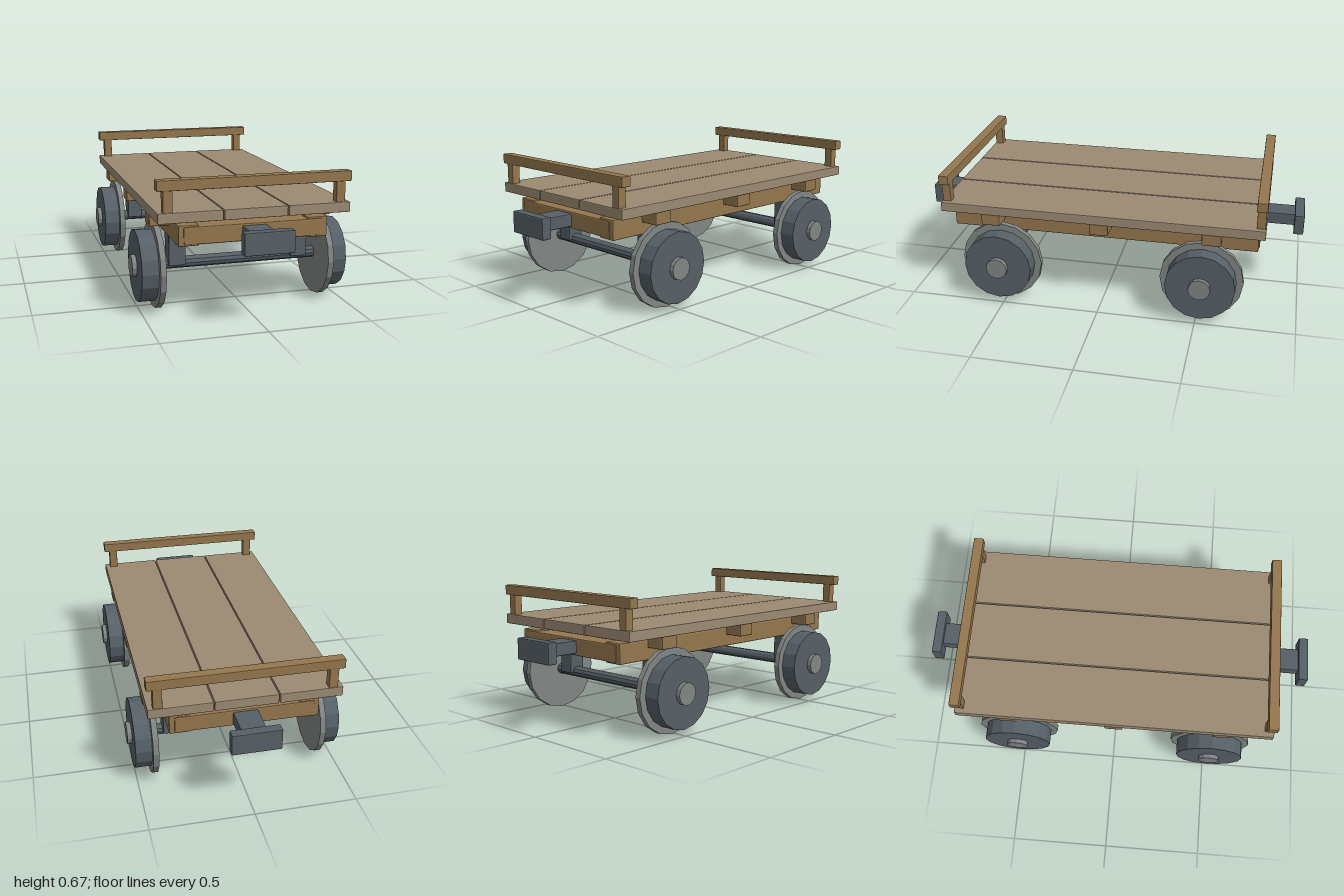
import * as THREE from 'three';
import { RoundedBoxGeometry } from 'three/addons/geometries/RoundedBoxGeometry.js';

const paint = (color) => new THREE.MeshStandardMaterial({ color, flatShading: true });

export function createModel() {
  const model = new THREE.Group();
  model.name = 'railCart';
  const plankWood = paint(0x9c8a73);
  const beamWood = paint(0x94774e);
  const iron = paint(0x566067);
  const steel = paint(0x808584);

  // Box with a narrow chamfer, given by its limits on each axis
  function beam(name, [x0, x1], [y0, y1], [z0, z1], material, bevel = 0.006) {
    const geometry = new RoundedBoxGeometry(x1 - x0, y1 - y0, z1 - z0, 1, bevel);
    const mesh = new THREE.Mesh(geometry, material);
    mesh.name = name;
    mesh.position.set((x0 + x1) / 2, (y0 + y1) / 2, (z0 + z1) / 2);
    model.add(mesh);
  }

  // Cylinder lying along x
  function disc(name, radius, [x0, x1], sides, material, parent) {
    const geometry = new THREE.CylinderGeometry(radius, radius, x1 - x0, sides);
    geometry.rotateZ(Math.PI / 2);
    const mesh = new THREE.Mesh(geometry, material);
    mesh.name = name;
    mesh.position.x = (x0 + x1) / 2;
    parent.add(mesh);
  }

  // Limits mirrored to the negative side when s is -1
  const side = (s, a, b) => (s > 0 ? [a, b] : [-b, -a]);

  // Deck planks
  for (const x of [-0.309, 0, 0.309]) {
    beam('deckPlank', [x - 0.152, x + 0.152], [0.478, 0.527], [-0.817, 0.817], plankWood, 0.004);
  }

  // Cross beams under the deck
  for (const z of [-0.56, 0, 0.56]) {
    beam('crossBeam', [-0.455, 0.455], [0.418, 0.48], [z - 0.048, z + 0.048], beamWood);
  }

  for (const s of [-1, 1]) {
    // Long side sills
    beam('sideSill', side(s, 0.262, 0.36), [0.36, 0.458], [-0.785, 0.785], beamWood);

    // End beam and railing
    beam('endBeam', [-0.335, 0.335], [0.367, 0.45], side(s, 0.69, 0.79), beamWood);
    beam('endRail', [-0.464, 0.464], [0.625, 0.674], side(s, 0.766, 0.817), beamWood, 0.004);
    for (const t of [-1, 1]) {
      beam('railPost', side(t, 0.391, 0.435), [0.52, 0.63], side(s, 0.77, 0.813), beamWood, 0.003);
    }

    // Bumper at each end
    beam('bumperShaft', [-0.06, 0.06], [0.378, 0.44], side(s, 0.77, 0.96), iron);
    beam('bumperPlate', [-0.118, 0.118], [0.355, 0.46], side(s, 0.95, 1), iron);

    // Axle hangers
    for (const t of [-1, 1]) {
      beam('axleHanger', side(t, 0.268, 0.352), [0.203, 0.39], side(s, 0.475, 0.56), iron);
    }

    // Wheel set: axle with a flanged wheel at each end
    const wheelSet = new THREE.Group();
    wheelSet.name = 'wheelSet';
    wheelSet.position.set(0, 0.21, s * 0.518);
    disc('axle', 0.028, [-0.41, 0.41], 10, iron, wheelSet);
    for (const t of [-1, 1]) {
      disc('wheelFlange', 0.21, side(t, 0.4, 0.428), 16, steel, wheelSet);
      disc('wheelTread', 0.175, side(t, 0.42, 0.508), 16, iron, wheelSet);
      disc('wheelHub', 0.055, side(t, 0.5, 0.53), 12, steel, wheelSet);
    }
    model.add(wheelSet);
  }
  return model;
}
